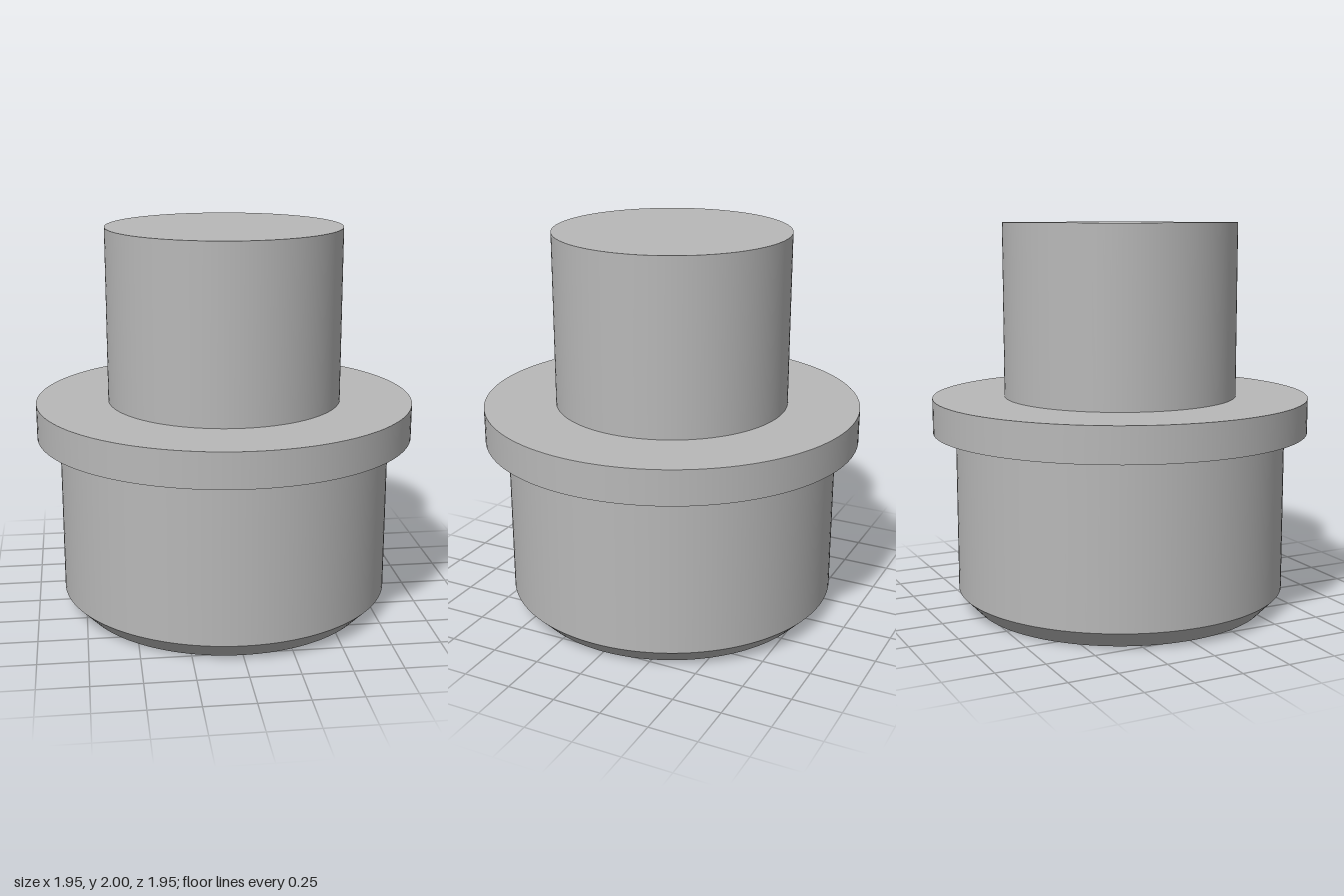
import * as THREE from 'three';

const SEGMENTS = 128;

export function createModel() {
  const model = new THREE.Group();
  model.name = 'flangedPlug';
  const grey = new THREE.MeshStandardMaterial({ color: 0xb8b8b8 });
  grey.name = 'plain grey';

  // Turned part: each profile step is its own strip, so edges stay sharp
  function turned(name, profile) {
    const part = new THREE.Group();
    part.name = name;
    for (let i = 0; i < profile.length - 1; i++) {
      const points = [profile[i], profile[i + 1]].map(([r, y]) => new THREE.Vector2(r, y));
      const strip = new THREE.Mesh(new THREE.LatheGeometry(points, SEGMENTS), grey);
      strip.name = name + 'Face' + (i + 1);
      part.add(strip);
    }
    model.add(part);
  }

  // Shallow blind hole in the underside: floor, then wall
  turned('centreHole', [[0, 0.09], [0.1, 0.09], [0.1, 0]]);
  // Underside, chamfer and wide lower cylinder
  turned('body', [[0.1, 0], [0.77, 0], [0.86, 0.093], [0.86, 0.926]]);
  // Collar: lower ledge, rim and upper ledge
  turned('flange', [[0.86, 0.926], [0.977, 0.926], [0.977, 1.106], [0.605, 1.106]]);
  // Narrow upper cylinder with its flat end
  turned('shaft', [[0.605, 1.106], [0.605, 2], [0, 2]]);

  return model;
}
